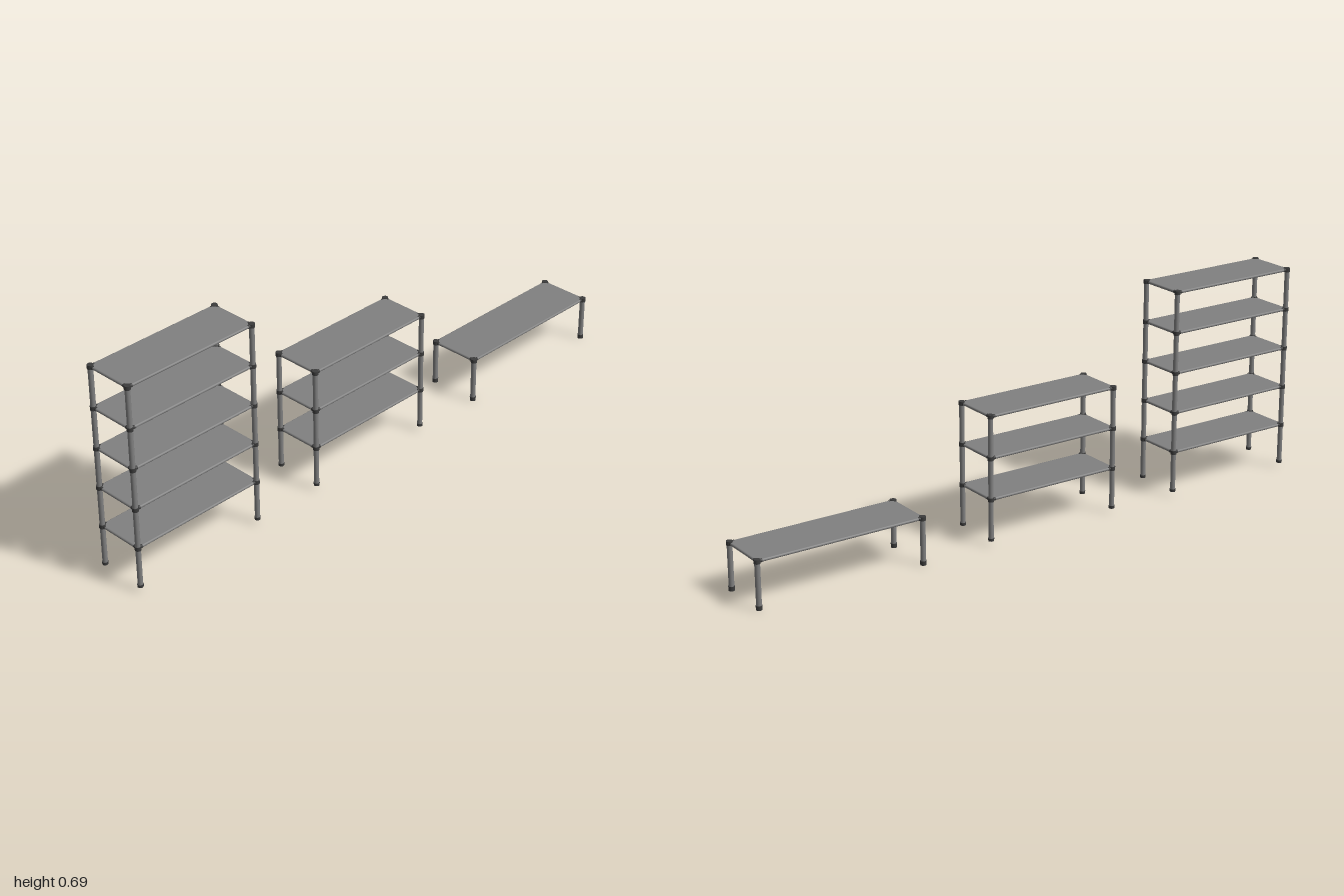
import * as THREE from 'three';

const steel = new THREE.MeshStandardMaterial({ color: 0x808080 });
steel.name = 'grey steel';
const dark = new THREE.MeshStandardMaterial({ color: 0x3c3c3c });
dark.name = 'dark plastic';

function add(parent, name, geometry, material, x, y, z) {
  const mesh = new THREE.Mesh(geometry, material);
  mesh.name = name;
  mesh.position.set(x, y, z);
  parent.add(mesh);
  return mesh;
}

// Round bar lying along the x or z axis
function bar(parent, name, radius, length, axis, material, x, y, z) {
  const mesh = add(parent, name, new THREE.CylinderGeometry(radius, radius, length, 16), material, x, y, z);
  if (axis === 'x') mesh.rotation.z = Math.PI / 2;
  else mesh.rotation.x = Math.PI / 2;
}

// One free-standing unit: four posts carrying a stack of shelves
function shelfUnit({ name, halfX, z0, z1, base, foot, radius, shelves }) {
  const unit = new THREE.Group();
  unit.name = name;
  const halfZ = (z1 - z0) / 2;
  unit.position.z = (z0 + z1) / 2;
  const top = shelves[shelves.length - 1];
  const hubRadius = radius + 0.0017;
  const arm = 0.015;

  for (const sx of [-1, 1]) for (const sz of [-1, 1]) {
    const x = sx * halfX, z = sz * halfZ;
    // Post and its foot
    const height = top - base - 0.002;
    add(unit, 'post', new THREE.CylinderGeometry(radius, radius, height, 20), steel, x, base + 0.001 + height / 2, z);
    add(unit, 'foot', new THREE.CylinderGeometry(radius + 0.0015, radius + 0.001, foot, 20), dark, x, base + foot / 2, z);
    for (const y of shelves) {
      // Corner connector with a short sleeve over each rail
      add(unit, 'connector', new THREE.CylinderGeometry(hubRadius, hubRadius, 0.0125, 20), dark, x, y, z);
      bar(unit, 'connectorSleeve', 0.0056, arm, 'x', dark, x - sx * arm / 2, y, z);
      bar(unit, 'connectorSleeve', 0.0056, arm, 'z', dark, x, y, z - sz * arm / 2);
    }
  }

  for (const y of shelves) {
    // Panel framed by four round rails
    add(unit, 'shelfPanel', new THREE.BoxGeometry(halfX * 2, 0.006, halfZ * 2), steel, 0, y + 0.0015, 0);
    for (const s of [-1, 1]) {
      bar(unit, 'endRail', 0.0047, halfX * 2, 'x', steel, 0, y, s * halfZ);
      bar(unit, 'sideRail', 0.0047, halfZ * 2, 'z', steel, s * halfX, y, 0);
    }
  }
  return unit;
}

export function createModel() {
  const model = new THREE.Group();
  model.name = 'shelfSet';
  const levels = [0.15, 0.2835, 0.417, 0.5505, 0.684];
  model.add(
    shelfUnit({ name: 'tallShelf', halfX: 0.0775, z0: 0.53, z1: 0.99, base: 0.015, foot: 0.009, radius: 0.008, shelves: levels }),
    shelfUnit({ name: 'mediumShelf', halfX: 0.0775, z0: -0.183, z1: 0.281, base: 0.015, foot: 0.009, radius: 0.008, shelves: levels.slice(0, 3) }),
    shelfUnit({ name: 'lowBench', halfX: 0.0828, z0: -0.989, z1: -0.433, base: 0, foot: 0.014, radius: 0.0085, shelves: [0.15] })
  );
  return model;
}
